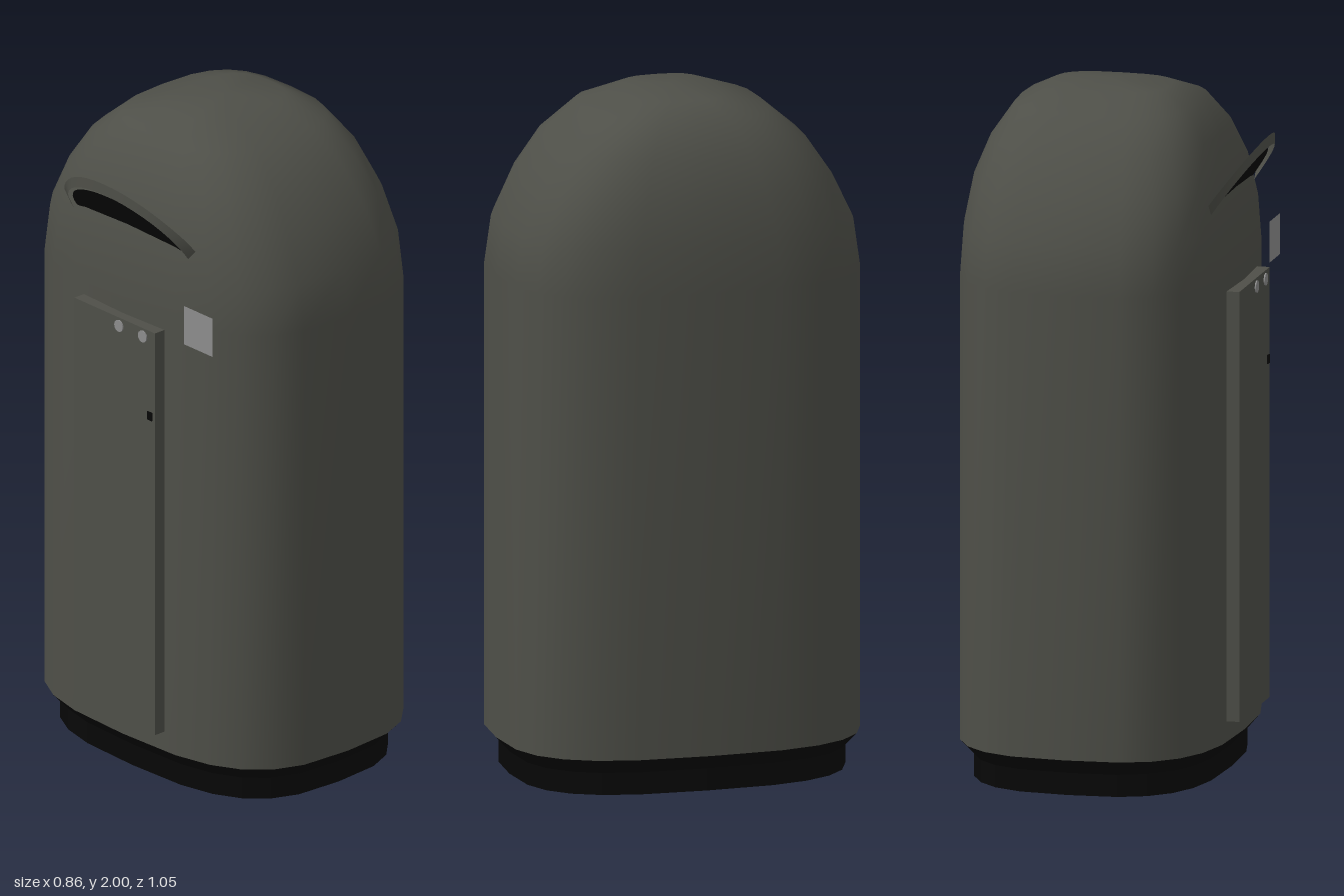
import * as THREE from 'three';

const SIDES = 24;
const CENTER_X = 0.035;

// Stacks rounded-rectangle rings [y, halfWidth, halfDepth] into a skin
function loft(rings) {
  const pos = [], index = [];
  const soft = (v) => Math.sign(v) * Math.pow(Math.abs(v), 2 / 3);
  for (const [y, rx, rz] of rings) {
    for (let i = 0; i < SIDES; i++) {
      const a = (i / SIDES) * Math.PI * 2;
      pos.push(CENTER_X + rx * soft(Math.cos(a)), y, rz * soft(Math.sin(a)));
    }
  }
  for (let j = 0; j < rings.length - 1; j++) {
    for (let i = 0; i < SIDES; i++) {
      const a = j * SIDES + i, b = j * SIDES + ((i + 1) % SIDES);
      const c = a + SIDES, d = b + SIDES;
      index.push(a, c, b, b, c, d);
    }
  }
  const g = new THREE.BufferGeometry();
  g.setAttribute('position', new THREE.Float32BufferAttribute(pos, 3));
  g.setIndex(index);
  g.computeVertexNormals();
  return g;
}

// Joins two equal rows of points with a strip of quads
function strip(upper, lower) {
  const pos = [], index = [];
  upper.forEach((p, i) => {
    pos.push(...p, ...lower[i]);
    if (i) index.push(2 * i - 2, 2 * i - 1, 2 * i, 2 * i, 2 * i - 1, 2 * i + 1);
  });
  const g = new THREE.BufferGeometry();
  g.setAttribute('position', new THREE.Float32BufferAttribute(pos, 3));
  g.setIndex(index);
  g.computeVertexNormals();
  return g;
}

export function createModel() {
  const group = new THREE.Group();
  const material = (name, color, side = THREE.FrontSide) => {
    const m = new THREE.MeshStandardMaterial({ color, side });
    m.name = name;
    return m;
  };
  const shellGrey = material('shellGrey', 0x4e4f48, THREE.DoubleSide);
  const black = material('black', 0x070707, THREE.DoubleSide);
  const lightGrey = material('lightGrey', 0x8c8c8c, THREE.DoubleSide);
  const add = (name, geometry, mat, x = 0, y = 0, z = 0) => {
    const mesh = new THREE.Mesh(geometry, mat);
    mesh.name = name;
    mesh.position.set(x, y, z);
    group.add(mesh);
    return mesh;
  };

  // Domed shell
  const shell = loft([
    [0.11, 0.395, 0.525], [1.47, 0.395, 0.525], [1.61, 0.387, 0.505],
    [1.74, 0.365, 0.443], [1.85, 0.322, 0.368], [1.94, 0.262, 0.262],
    [1.985, 0.175, 0.13], [2.0, 0, 0],
  ]);
  const n = shell.attributes.normal;
  for (let i = n.count - SIDES; i < n.count; i++) n.setXYZ(i, 0, 1, 0);
  add('shell', shell, shellGrey);

  // Recessed plinth with a bevel up to the shell
  const plinth = loft([
    [0, 0, 0], [0, 0.357, 0.485], [0.065, 0.357, 0.485], [0.11, 0.395, 0.525],
  ]).toNonIndexed();
  plinth.computeVertexNormals();
  add('plinth', plinth, black);

  // Door slab on the right side, with its small fittings
  add('door', new THREE.BoxGeometry(0.05, 1.26, 0.34), shellGrey, -0.365, 0.80, 0);
  for (const z of [0.02, 0.12]) {
    const light = add('doorIndicator', new THREE.CylinderGeometry(0.018, 0.018, 0.006, 12),
      lightGrey, -0.391, 1.405, z);
    light.rotation.z = Math.PI / 2;
  }
  add('doorLatch', new THREE.BoxGeometry(0.006, 0.025, 0.02), black, -0.391, 1.165, 0.15);

  // Side sign plate
  const sign = add('signPlate', new THREE.PlaneGeometry(0.12, 0.12), lightGrey, -0.364, 1.48, 0.325);
  sign.rotation.y = -Math.PI / 2;

  // Raised half-round canopy: thin rim and a smaller dark panel inside it
  const upper = [], lower = [], panelEdge = [], hinge = [];
  for (let i = 0; i <= 20; i++) {
    const a = -Math.PI / 2 + (i / 20) * Math.PI;
    const c = Math.cos(a), s = Math.sin(a);
    const flare = 0.03 * Math.pow(Math.abs(s), 10) * Math.sign(s);
    upper.push([-0.325 - 0.108 * c, 1.70 + 0.155 * c, 0.24 * s + flare]);
    lower.push([-0.325 - 0.108 * c, 1.667 + 0.155 * c, 0.24 * s]);
    panelEdge.push([-0.325 - 0.086 * c, 1.683 + 0.123 * c, 0.23 * s]);
    hinge.push([-0.325, 1.683, 0.23 * s]);
  }
  add('canopyRim', strip(upper, lower), shellGrey);
  add('canopyPanel', strip(panelEdge, hinge), black);

  return group;
}
